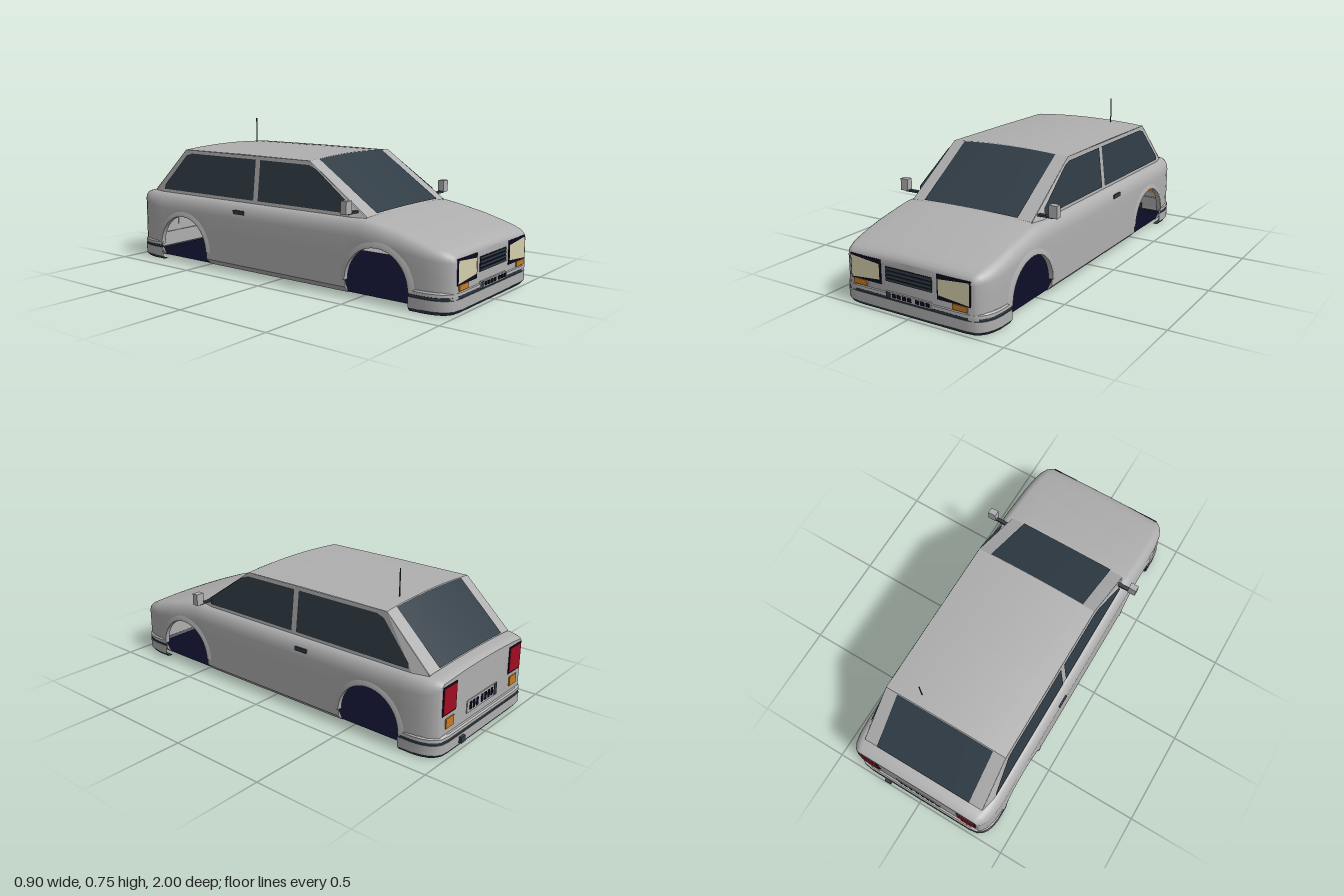
import * as THREE from 'three';
import { toCreasedNormals } from 'three/addons/utils/BufferGeometryUtils.js';

const mat = (name, color) => new THREE.MeshStandardMaterial({ name, color, side: THREE.DoubleSide });
const paint = mat('silver paint', 0xb0afb0);
const glass = mat('slate glass and trim', 0x303c45);
const navy = mat('dark navy', 0x0b0b22);
const cream = mat('cream lamp', 0xd6ceab);
const orange = mat('orange lamp', 0xc87a20);
const red = mat('red lamp', 0xa00c22);

// Surface through rows of [x, y, z] points, dropping empty triangles
function loft(rows, crease = 0.6) {
  const out = [], v = rows.map(r => r.map(p => new THREE.Vector3(...p)));
  const tri = (a, b, c) => {
    if (new THREE.Triangle(a, b, c).getArea() > 1e-8) for (const p of [a, b, c]) out.push(p.x, p.y, p.z);
  };
  for (let i = 0; i < v.length - 1; i++)
    for (let j = 0; j < v[i].length - 1; j++) {
      tri(v[i][j], v[i + 1][j], v[i + 1][j + 1]);
      tri(v[i][j], v[i + 1][j + 1], v[i][j + 1]);
    }
  const g = new THREE.BufferGeometry();
  g.setAttribute('position', new THREE.Float32BufferAttribute(out, 3));
  return toCreasedNormals(g, crease);
}

// Lower body stations: z, half width, top height, shoulder radius
const stations = [
  [-0.97, 0.35, 0.362, 0.02], [-0.96, 0.365, 0.371, 0.04], [-0.93, 0.385, 0.376, 0.06],
  [-0.88, 0.398, 0.379, 0.07], [-0.8, 0.404, 0.38, 0.08], [0.53, 0.404, 0.38, 0.08],
  [0.6, 0.404, 0.369, 0.08], [0.75, 0.403, 0.338, 0.07], [0.86, 0.398, 0.309, 0.06],
  [0.92, 0.388, 0.293, 0.05], [0.955, 0.372, 0.281, 0.04], [0.975, 0.355, 0.268, 0.03], [0.985, 0.34, 0.25, 0.012],
];
function stationAt(z) {
  const i = Math.max(1, stations.findIndex(s => s[0] >= z));
  const a = stations[i - 1], b = stations[i], t = (z - a[0]) / (b[0] - a[0]);
  return a.map((v, k) => v + (b[k] - v) * t);
}
const ARCH_R = 0.17, ARCH_Y = 0.085, ARCH_Z = 0.62, SILL = 0.02;

// Full section from one lower edge over the top to the other
function section(z, bottom) {
  const [, w, top, r] = stationAt(z);
  const half = [], rx = Math.min(0.05, r), crown = 0.012, y0 = Math.max(bottom, 0.05), y1 = top - crown - r;
  half.push([w - Math.max(0, 0.05 - bottom), bottom]);
  for (let k = 0; k <= 3; k++) half.push([w, y0 + (Math.max(y1, y0) - y0) * k / 3]);
  for (let k = 1; k <= 6; k++) {
    const a = k / 6 * Math.PI / 2;
    half.push([w - rx + rx * Math.cos(a), y1 + r * Math.sin(a)]);
  }
  for (let k = 1; k <= 4; k++) {
    const f = 1 - k / 4;
    half.push([(w - rx) * f, top - crown * f * f]);
  }
  const other = half.slice(0, -1).reverse().map(([x, y]) => [-x, y]);
  return [...half, ...other].map(([x, y]) => [x, y, z]);
}

function bodyShell() {
  const cuts = stations.map(s => [s[0], SILL]).filter(c => Math.abs(Math.abs(c[0]) - ARCH_Z) > ARCH_R);
  for (const c of [-ARCH_Z, ARCH_Z]) {
    const arch = [[c - ARCH_R, SILL]];
    for (let k = 0; k <= 24; k++) {
      const a = Math.PI * (1 - k / 24);
      arch.push([c + ARCH_R * Math.cos(a), ARCH_Y + ARCH_R * Math.sin(a)]);
    }
    arch.push([c + ARCH_R, SILL]);
    cuts.push(...arch);
  }
  cuts.sort((a, b) => a[0] - b[0]);
  // restore the order of the doubled cuts at the vertical arch edges
  for (const c of [-ARCH_Z, ARCH_Z]) {
    const fix = (z, first) => {
      const i = cuts.findIndex(q => Math.abs(q[0] - z) < 1e-6);
      const pair = [cuts[i], cuts[i + 1]].sort((a, b) => first * (a[1] - b[1]));
      cuts.splice(i, 2, ...pair);
    };
    fix(c - ARCH_R, 1);
    fix(c + ARCH_R, -1);
  }
  const rows = cuts.map(([z, b]) => section(z, b));
  const flat = row => row.map(([, y, z]) => [0, y, z]);
  return loft([flat(rows[0]), ...rows, flat(rows[rows.length - 1])]);
}

export function createModel() {
  const car = new THREE.Group();
  car.name = 'car';
  const add = (name, geo, m) => {
    const mesh = new THREE.Mesh(geo, m);
    mesh.name = name;
    car.add(mesh);
    return mesh;
  };
  const box = (name, m, x0, x1, y0, y1, z0, z1) =>
    add(name, new THREE.BoxGeometry(x1 - x0, y1 - y0, z1 - z0), m)
      .position.set((x0 + x1) / 2, (y0 + y1) / 2, (z0 + z1) / 2);

  add('lowerBody', bodyShell(), paint);
  add('floor', new THREE.PlaneGeometry(0.74, 1.9).rotateX(Math.PI / 2), navy).position.y = 0.021;

  // Wheel arch lips
  for (const s of [-1, 1]) for (const c of [-ARCH_Z, ARCH_Z]) {
    const rows = [[0.2, 0.402], [0.18, 0.41], [0.17, 0.41], [0.17, 0.385]].map(([r, x]) => {
      const arc = [];
      for (let k = 0; k <= 24; k++) {
        const a = Math.PI * k / 24;
        arc.push([s * x, ARCH_Y + r * Math.sin(a), c + r * Math.cos(a)]);
      }
      return arc;
    });
    add('wheelArchLip', loft(rows), paint);
  }

  // Cabin: windscreen, roof and rear screen share curved cross lines
  const line = (w, y, z, crown, span = w) => {
    const row = [];
    for (let k = -6; k <= 6; k++) {
      const x = span * k / 6;
      row.push([x, y + crown * (1 - (x / w) ** 2), z]);
    }
    return row;
  };
  const screens = [['windscreen', 0.53, 0.19, 0.004], ['rearScreen', -0.9, -0.66, -0.004]];
  for (const [name, zBase, zTop, off] of screens) {
    add(name + 'Frame', loft([line(0.342, 0.372, zBase, 0.008), line(0.335, 0.605, zTop, 0.015)]), paint);
    add(name + 'Glass', loft([line(0.342, 0.38, zBase + off * 0.3, 0.006, 0.268),
      line(0.335, 0.604, zTop + off, 0.014, 0.268)]), glass);
  }
  add('roof', loft([line(0.335, 0.605, 0.19, 0.015), line(0.335, 0.607, -0.25, 0.016),
    line(0.335, 0.605, -0.66, 0.015)]), paint);

  // Cabin sides with two windows each
  const sideX = y => 0.362 - (y - 0.372) * 0.027 / 0.233;
  const windows = [
    ['frontSideWindow', [[0.45, 0.384], [0.45, 0.42], [0.235, 0.57], [0.19, 0.586], [-0.12, 0.588], [-0.12, 0.384]]],
    ['rearSideWindow', [[-0.15, 0.384], [-0.15, 0.588], [-0.61, 0.588], [-0.65, 0.575], [-0.8, 0.41], [-0.805, 0.384]]],
  ];
  for (const s of [-1, 1]) {
    const lower = [[0.342, 0.53], [0.362, 0.45], [0.362, -0.82], [0.342, -0.9]];
    const upper = [0.19, 0.19, -0.66, -0.66];
    add('cabinSide', loft([lower.map(([x, z]) => [s * x, 0.368, z]),
      upper.map(z => [s * 0.335, 0.605, z])], 0.1), paint);
    for (const [name, pts] of windows) {
      const g = new THREE.ShapeGeometry(new THREE.Shape(pts.map(p => new THREE.Vector2(...p))));
      const p = g.attributes.position;
      for (let i = 0; i < p.count; i++) {
        const z = p.getX(i), y = p.getY(i);
        p.setXYZ(i, s * (sideX(y) + 0.004), y, z);
      }
      g.computeVertexNormals();
      add(name, g, glass);
    }
    // Door handle and wing mirror
    const mirrored = (name, m, x0, x1, ...r) => box(name, m, Math.min(s * x0, s * x1), Math.max(s * x0, s * x1), ...r);
    mirrored('doorHandle', glass, 0.4, 0.408, 0.312, 0.332, -0.25, -0.18);
    mirrored('mirrorArm', glass, 0.345, 0.425, 0.39, 0.4, 0.463, 0.483);
    mirrored('mirror', paint, 0.407, 0.45, 0.395, 0.455, 0.457, 0.49);

    // Front lamps
    mirrored('headlampHousing', navy, 0.155, 0.331, 0.128, 0.243, 0.98, 0.988);
    const lens = new THREE.Shape([[0.163, 0.222], [0.163, 0.149], [0.325, 0.134], [0.325, 0.237]]
      .map(([x, y]) => new THREE.Vector2(s * x, y)));
    add('headlampLens', new THREE.ShapeGeometry(lens), cream).position.z = 0.9905;
    mirrored('frontIndicator', orange, 0.238, 0.314, 0.103, 0.129, 0.98, 0.992);
    // Rear lamps
    mirrored('tailLampHousing', navy, 0.232, 0.343, 0.197, 0.335, -0.973, -0.966);
    mirrored('tailLamp', red, 0.237, 0.338, 0.203, 0.329, -0.976, -0.968);
    mirrored('rearIndicator', orange, 0.25, 0.313, 0.13, 0.178, -0.976, -0.967);
  }

  // Grille
  box('grille', navy, -0.128, 0.128, 0.15, 0.219, 0.98, 0.987);
  for (let i = 0; i < 4; i++) {
    const y = 0.152 + i * 0.0177;
    box('grilleSlat', glass, -0.128, 0.128, y, y + 0.0115, 0.982, 0.99);
  }

  // Bumpers: bands swept round the corners, given as [inset, y]
  const plan = [[0.407, 0.79], [0.407, 0.87], [0.401, 0.91], [0.388, 0.945], [0.37, 0.968], [0.345, 0.984], [0.3, 0.99], [0, 0.99]];
  const path = [...plan, ...plan.slice(0, -1).reverse().map(([x, z]) => [-x, z])];
  const bands = [
    ['bumperBase', glass, [[0.04, 0.001], [0.013, 0], [0.001, 0.017]]],
    ['bumper', paint, [[0.001, 0.017], [0, 0.066]]],
    ['bumperStripe', glass, [[0, 0.066], [0.003, 0.068], [0.003, 0.078], [0, 0.08]]],
    ['bumperTop', paint, [[0, 0.08], [0.001, 0.094], [0.008, 0.101], [0.03, 0.103]]],
  ];
  for (const end of [1, -1])
    for (const [name, m, profile] of bands) {
      const rows = profile.map(([d, y]) => path.map(([x, z]) => [
        x * (1 - d / 0.407), y,
        end * (0.79 + (z - 0.79) * (1 - d / 0.2)) + (end < 0 ? 0.003 : 0)]));
      add((end > 0 ? 'front' : 'rear') + name, loft(rows), m);
    }

  // Number plates with plain blocks
  const blocks = [-0.079, -0.051, -0.022, 0.008, 0.051, 0.08, 0.108];
  box('frontPlate', paint, -0.125, 0.122, 0.075, 0.106, 0.985, 0.994);
  box('frontPlateBadge', glass, -0.124, -0.1, 0.077, 0.104, 0.99, 0.996);
  box('rearPlate', paint, -0.125, 0.137, 0.135, 0.197, -0.974, -0.967);
  box('rearPlateBadge', glass, -0.124, -0.1, 0.137, 0.195, -0.976, -0.97);
  for (const x of blocks) {
    box('frontPlateBlock', navy, x - 0.01, x + 0.01, 0.082, 0.1, 0.99, 0.997);
    box('rearPlateBlock', navy, x - 0.008, x + 0.008, 0.147, 0.186, -0.977, -0.97);
  }

  // Exhaust and aerial
  box('exhaust', glass, 0.18, 0.215, 0.025, 0.055, -1, -0.96);
  add('aerial', new THREE.CylinderGeometry(0.003, 0.003, 0.14, 8), glass).position.set(0.164, 0.68, -0.605);
  return car;
}
